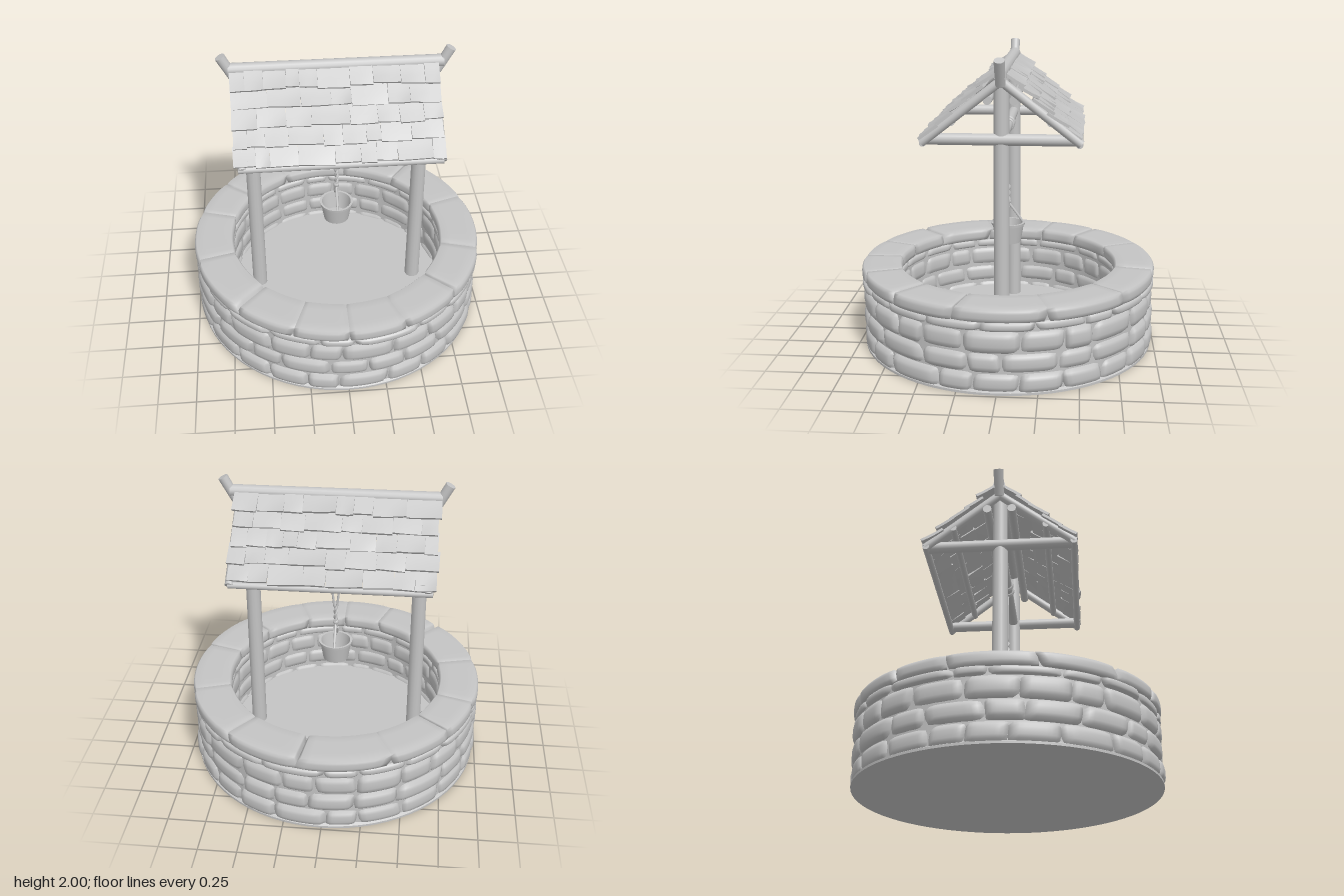
import * as THREE from 'three';
import { mergeVertices, toCreasedNormals } from 'three/addons/utils/BufferGeometryUtils.js';

const grey = new THREE.MeshStandardMaterial({ color: 0xc4c4c4 });
grey.name = 'plain grey';
const V = (x, y, z) => new THREE.Vector3(x, y, z);

let seed = 11;
function rand(lo, hi) {
  seed = (seed * 16807) % 2147483647;
  return lo + (hi - lo) * seed / 2147483647;
}

function add(parent, name, geometry) {
  const mesh = new THREE.Mesh(geometry, grey);
  mesh.name = name;
  parent.add(mesh);
  return mesh;
}

function group(parent, name) {
  const g = new THREE.Group();
  g.name = name;
  parent.add(g);
  return g;
}

// Round timber between two points
function beam(parent, name, a, b, r, rEnd = r) {
  const m = add(parent, name, new THREE.CylinderGeometry(rEnd, r, a.distanceTo(b), 14));
  m.position.copy(a).lerp(b, 0.5);
  m.quaternion.setFromUnitVectors(V(0, 1, 0), b.clone().sub(a).normalize());
}

function rope(parent, name, points, r) {
  const curve = new THREE.CatmullRomCurve3(points);
  add(parent, name, new THREE.TubeGeometry(curve, points.length * 6, r, 7));
}

// Pillow-shaped block bent around the well between angles a0 and a1
function stone(parent, name, a0, a1, y0, y1, rIn, rOut, round) {
  let g = new THREE.BoxGeometry(2, 2, 2, 10, 6, 4);
  g.deleteAttribute('uv');
  g.deleteAttribute('normal');
  g = mergeVertices(g);
  const p = g.attributes.position;
  const half = (rOut - rIn) / 2, skew = rand(-0.1, 0.1);
  for (let i = 0; i < p.count; i++) {
    const u = p.getX(i), v = p.getY(i), w = p.getZ(i);
    const edge = Math.min(1.3, u ** 8 + v ** 4);
    const r = (rIn + rOut) / 2 + w * (half - round * edge);
    const a = (a0 + a1) / 2 + (a1 - a0) / 2 * (u * (1 - round * v ** 4) + skew * v);
    const y = (y0 + y1) / 2 + (y1 - y0) / 2 * v * (1 - round * 3.5 * u ** 8 - round * w ** 4);
    p.setXYZ(i, r * Math.sin(a), y, r * Math.cos(a));
  }
  g.computeVertexNormals();
  add(parent, name, g);
}

function buildWall(model) {
  const wall = group(model, 'stoneWall');
  // Mortar core with the floor and the flat underside
  const core = [[0, 0], [0.985, 0], [0.985, 0.015], [0.966, 0.025], [0.966, 0.5],
    [0.744, 0.5], [0.744, 0.1], [0, 0.1]].map(([x, y]) => new THREE.Vector2(x, y));
  add(wall, 'mortarCore', toCreasedNormals(new THREE.LatheGeometry(core, 72), 0.6));

  // Courses of uneven stones
  const courses = [[0.004, 0.138, 22], [0.135, 0.268, 21], [0.264, 0.411, 22], [0.404, 0.474, 19]];
  courses.forEach(([y0, y1, n], row) => {
    const cuts = [];
    for (let i = 0; i < n; i++) cuts.push((i + row * 0.45 + rand(-0.24, 0.24)) * Math.PI * 2 / n);
    cuts.push(cuts[0] + Math.PI * 2);
    for (let i = 0; i < n; i++) {
      stone(wall, 'wallStone', cuts[i], cuts[i + 1], y0 + rand(0, 0.004),
        y1 - rand(0, 0.004), 0.728, 0.991 + rand(-0.008, 0.006), 0.025);
    }
  });

  // Large capping stones
  const seams = [-51, -18, 16, 42, 68, 90, 111, 135, 165, 196, 217, 244, 279, 309];
  for (let i = 0; i + 1 < seams.length; i++) {
    const a1 = Math.PI / 2 - THREE.MathUtils.degToRad(seams[i]);
    const a0 = Math.PI / 2 - THREE.MathUtils.degToRad(seams[i + 1]);
    stone(wall, 'capStone', a0 + 0.002, a1 - 0.002, 0.464, 0.552, 0.725, 0.998 + rand(-0.006, 0.002), 0.014);
  }
}

function buildFrame(model) {
  const frame = group(model, 'timberFrame');
  for (const s of [-1, 1]) {
    beam(frame, 'post', V(s * 0.558, 0.09, 0), V(s * 0.556, 1.87, 0), 0.051, 0.047);
    beam(frame, 'tieBeam', V(s * 0.575, 1.49, -0.47), V(s * 0.575, 1.49, 0.47), 0.037);
    beam(frame, 'ridgeHorn', V(s * 0.635, 1.83, 0), V(s * 0.715, 1.982, 0), 0.031, 0.033);
    for (const t of [-1, 1]) {
      beam(frame, 'rafter', V(s * 0.61, 1.85, 0), V(s * 0.61, 1.472, t * 0.485), 0.028);
    }
  }
  beam(frame, 'ridgeBeam', V(-0.67, 1.893, 0), V(0.67, 1.893, 0), 0.04);
  // Purlins under the shingles
  for (const t of [-1, 1]) {
    for (const [y, z, r] of [[1.735, 0.08, 0.028], [1.6, 0.3, 0.022], [1.47, 0.475, 0.022]]) {
      beam(frame, 'purlin', V(-0.635, y, t * z), V(0.62, y, t * z), r);
    }
  }
}

function buildRoof(model) {
  const roof = group(model, 'shingleRoof');
  const rows = 5, pitch = 0.725, step = 0.12;
  for (const turn of [0, Math.PI]) {
    const side = group(roof, turn ? 'backSlope' : 'frontSlope');
    side.rotation.y = turn;
    const slope = group(side, 'shingles');
    slope.position.set(turn ? 0.015 : -0.015, 1.893, 0.025);
    slope.rotation.x = pitch;
    for (let row = 0; row < rows; row++) {
      const end = 0.645 + rand(-0.012, 0.012);
      let x = -end;
      while (x < end - 0.01) {
        let w = rand(0.08, 0.24);
        if (end - x - w < 0.08) w = end - x;
        // Wedge-like shingle with a curled, uneven lower edge
        const len = 0.15 + rand(-0.022, 0.016);
        const g = new THREE.BoxGeometry(w - 0.001, 0.018, len, 3, 1, 3);
        const p = g.attributes.position;
        const lift = rand(-0.003, 0.012), tilt = rand(-0.008, 0.008), curl = rand(-0.005, 0.008);
        for (let i = 0; i < p.count; i++) {
          const u = p.getX(i) / w * 2, t = p.getZ(i) / len + 0.5;
          p.setY(i, p.getY(i) + t * t * (lift + tilt * u + curl * u * u));
        }
        g.computeVertexNormals();
        const m = add(slope, 'shingle', g);
        m.position.set(x + w / 2, 0.006 + rand(-0.004, 0.004), step * (row + 0.5) + rand(-0.005, 0.005));
        m.rotation.set(-0.1, rand(-0.04, 0.04), 0);
        x += w;
      }
    }
  }
}

function buildBucket(model) {
  const hoist = group(model, 'hoist');
  // Cross bar resting between the gables, with wound rope
  beam(hoist, 'crossBar', V(-0.57, 1.49, 0), V(0.57, 1.49, 0), 0.034);
  for (const x of [-0.05, -0.034, 0.034, 0.05]) {
    const coil = add(hoist, 'ropeCoil', new THREE.TorusGeometry(0.036, 0.009, 7, 20));
    coil.position.set(x, 1.49, 0);
    coil.rotation.y = Math.PI / 2;
  }
  // Two hanging strands that twist together above a knot
  for (const s of [-1, 1]) {
    const pts = [V(s * 0.054, 1.48, 0), V(s * 0.046, 1.42, 0), V(s * 0.014, 1.12, 0)];
    for (let i = 0; i <= 8; i++) {
      const a = i * Math.PI / 2;
      pts.push(V(s * 0.009 * Math.cos(a), 1.08 - i * 0.022, s * 0.009 * Math.sin(a)));
    }
    rope(hoist, 'ropeStrand', pts, 0.008);
    rope(hoist, 'bailRope', [V(0, 0.95, 0), V(0, 0.905, s * 0.035), V(0, 0.805, s * 0.108)], 0.009);
  }
  const knot = add(hoist, 'knot', new THREE.SphereGeometry(0.02, 12, 8));
  knot.position.y = 0.955;
  rope(hoist, 'ropeTail', [V(0, 0.95, 0), V(0.006, 0.9, 0), V(0.004, 0.83, 0)], 0.007);
  // Hollow tapered bucket with a rim
  const profile = [[0, 0.675], [0.086, 0.675], [0.106, 0.793], [0.113, 0.795], [0.115, 0.812],
    [0.1, 0.812], [0.077, 0.69], [0, 0.69]].map(([x, y]) => new THREE.Vector2(x, y));
  add(hoist, 'bucket', toCreasedNormals(new THREE.LatheGeometry(profile, 28), 0.6));
}

export function createModel() {
  const model = new THREE.Group();
  model.name = 'wishingWell';
  buildWall(model);
  buildFrame(model);
  buildRoof(model);
  buildBucket(model);
  return model;
}
